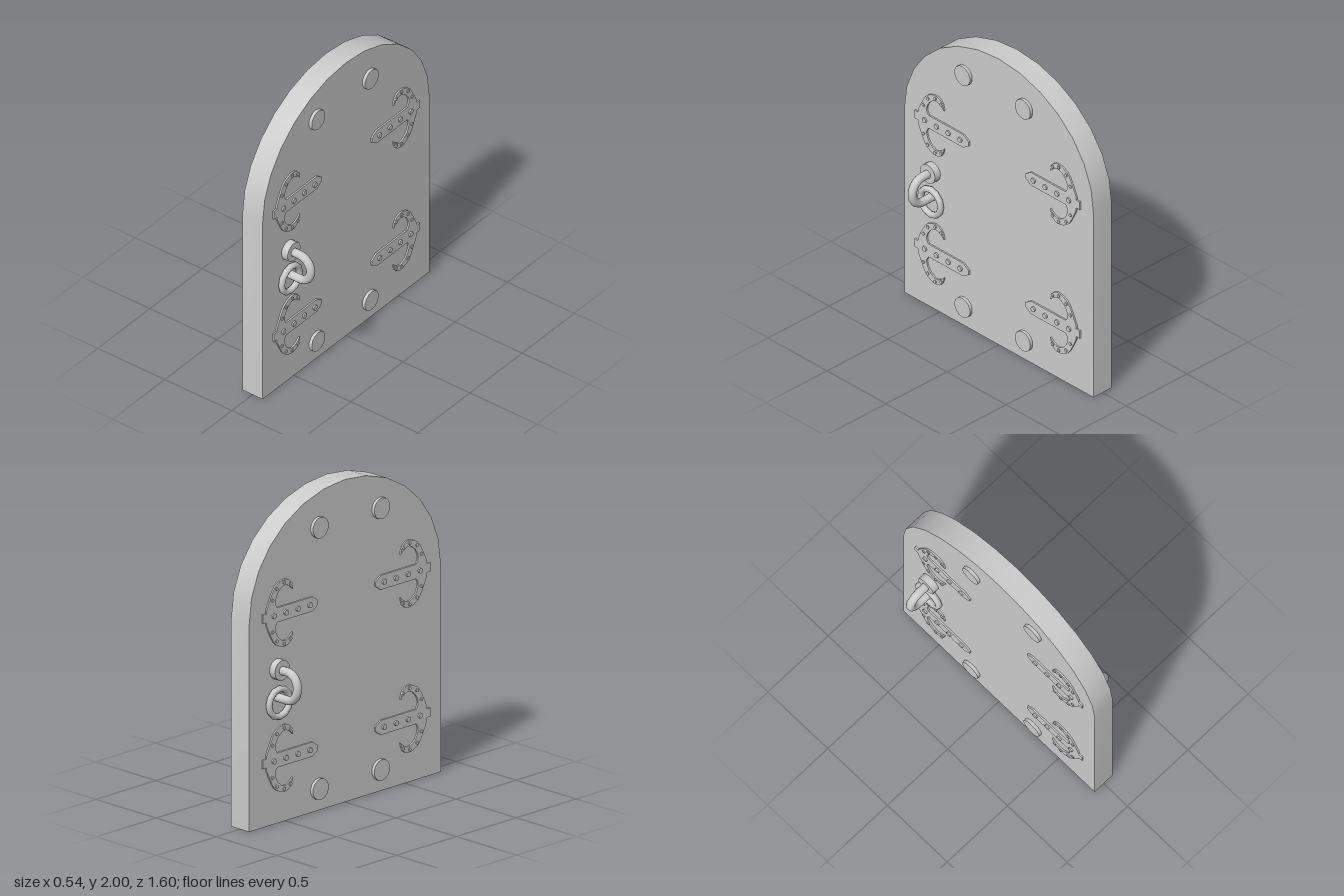
import * as THREE from 'three';
import { toCreasedNormals } from 'three/addons/utils/BufferGeometryUtils.js';

const grey = new THREE.MeshStandardMaterial({ color: 0xcccccc });
const HALF = 0.075; // half thickness of the door

function add(parent, name, geometry, x = 0, y = 0, z = 0) {
  const mesh = new THREE.Mesh(geometry, grey);
  mesh.name = name;
  mesh.position.set(x, y, z);
  parent.add(mesh);
  return mesh;
}

// Short cylinder whose axis points out of the door face (local +z)
function disc(radius, depth, sides) {
  return toCreasedNormals(new THREE.CylinderGeometry(radius, radius, depth, sides).rotateX(Math.PI / 2), 0.8);
}

// Slab with straight sides and a slightly flattened arch
function doorGeometry() {
  const shape = new THREE.Shape();
  shape.moveTo(-0.8, 0);
  shape.lineTo(0.8, 0);
  for (let i = 0; i <= 14; i++) {
    const a = (i / 14) * Math.PI;
    shape.lineTo(0.8 * Math.cos(a), 1.29 + 0.71 * Math.sin(a));
  }
  const geo = new THREE.ExtrudeGeometry(shape, { depth: 2 * HALF, bevelEnabled: false });
  geo.translate(0, 0, -HALF).rotateY(Math.PI / 2);
  return toCreasedNormals(geo, 0.6);
}

const smooth = (pts, n) =>
  new THREE.SplineCurve(pts.map(([x, y]) => new THREE.Vector2(x, y))).getPoints(n);

// Strap with a pointed end and a pair of curling horns, mirrored about its axis
function hingeGeometry() {
  const upper = [
    new THREE.Vector2(-0.7, 0.027),
    new THREE.Vector2(-0.67, 0.027),
    ...smooth([[-0.67, 0.045], [-0.64, 0.109], [-0.597, 0.178], [-0.523, 0.209], [-0.47, 0.188], [-0.449, 0.135]], 14),
    ...smooth([[-0.452, 0.134], [-0.476, 0.156], [-0.523, 0.172], [-0.576, 0.135], [-0.597, 0.08], [-0.58, 0.045]], 12),
    new THREE.Vector2(-0.285, 0.045),
    new THREE.Vector2(-0.24, 0.014),
  ];
  const lower = upper.map((p) => new THREE.Vector2(p.x, -p.y)).reverse();
  const geo = new THREE.ExtrudeGeometry(new THREE.Shape([...upper, ...lower]), {
    depth: 0.012, bevelEnabled: false,
  });
  return toCreasedNormals(geo, 0.6);
}

function createHinge() {
  const hinge = new THREE.Group();
  hinge.name = 'hinge';
  add(hinge, 'hingePlate', hingeGeometry(), 0, 0, HALF - 0.002);
  // Rivets along the strap
  for (const u of [-0.61, -0.51, -0.41, -0.31]) {
    add(hinge, 'strapRivet', disc(0.017, 0.02, 8), u, 0, HALF + 0.01);
  }
  // Small rivets along both horns
  for (const s of [1, -1]) {
    for (const [u, v] of [[-0.622, 0.1], [-0.585, 0.162], [-0.523, 0.19], [-0.471, 0.171]]) {
      add(hinge, 'hornRivet', disc(0.011, 0.016, 8), u, s * v, HALF + 0.008);
    }
  }
  return hinge;
}

// Round mount, bent bar returning into the door, and a ring hanging on the bar
function createHandle() {
  const handle = new THREE.Group();
  handle.name = 'handle';
  add(handle, 'handleMount', disc(0.063, 0.05, 16), 0, 0.958, HALF + 0.02);
  const path = [new THREE.Vector3(0, 0.957, 0.08), new THREE.Vector3(0, 0.957, 0.12)];
  for (let i = 0; i <= 10; i++) {
    const a = Math.PI / 2 - (i / 10) * Math.PI;
    path.push(new THREE.Vector3(0, 0.87 + 0.087 * Math.sin(a), 0.165 + 0.08 * Math.cos(a)));
  }
  path.push(new THREE.Vector3(0, 0.783, 0.12), new THREE.Vector3(0, 0.783, 0.07));
  const curve = new THREE.CatmullRomCurve3(path);
  add(handle, 'handleBar', new THREE.TubeGeometry(curve, 40, 0.027, 12));
  add(handle, 'handleRing', new THREE.TorusGeometry(0.086, 0.02, 10, 12), 0, 0.752, HALF + 0.02);
  return handle;
}

export function createModel() {
  const model = new THREE.Group();
  model.name = 'archedDoor';
  add(model, 'doorSlab', doorGeometry());

  // Large studs running through the door
  for (const y of [0.135, 1.757]) {
    for (const z of [0.29, -0.222]) {
      add(model, 'stud', disc(0.066, 0.19, 14), 0, y, z).rotation.y = Math.PI / 2;
    }
  }

  // Fittings on both faces
  for (const side of [1, -1]) {
    const face = new THREE.Group();
    face.name = side > 0 ? 'leftFaceFittings' : 'rightFaceFittings';
    face.rotation.y = (side * Math.PI) / 2;
    for (const y of [0.395, 1.295]) {
      for (const turn of [0, Math.PI]) {
        const hinge = createHinge();
        hinge.position.set(-0.005 * side, y, 0);
        hinge.rotation.z = turn;
        face.add(hinge);
      }
    }
    const handle = createHandle();
    handle.position.x = side > 0 ? -0.557 : -0.568;
    face.add(handle);
    model.add(face);
  }
  return model;
}
